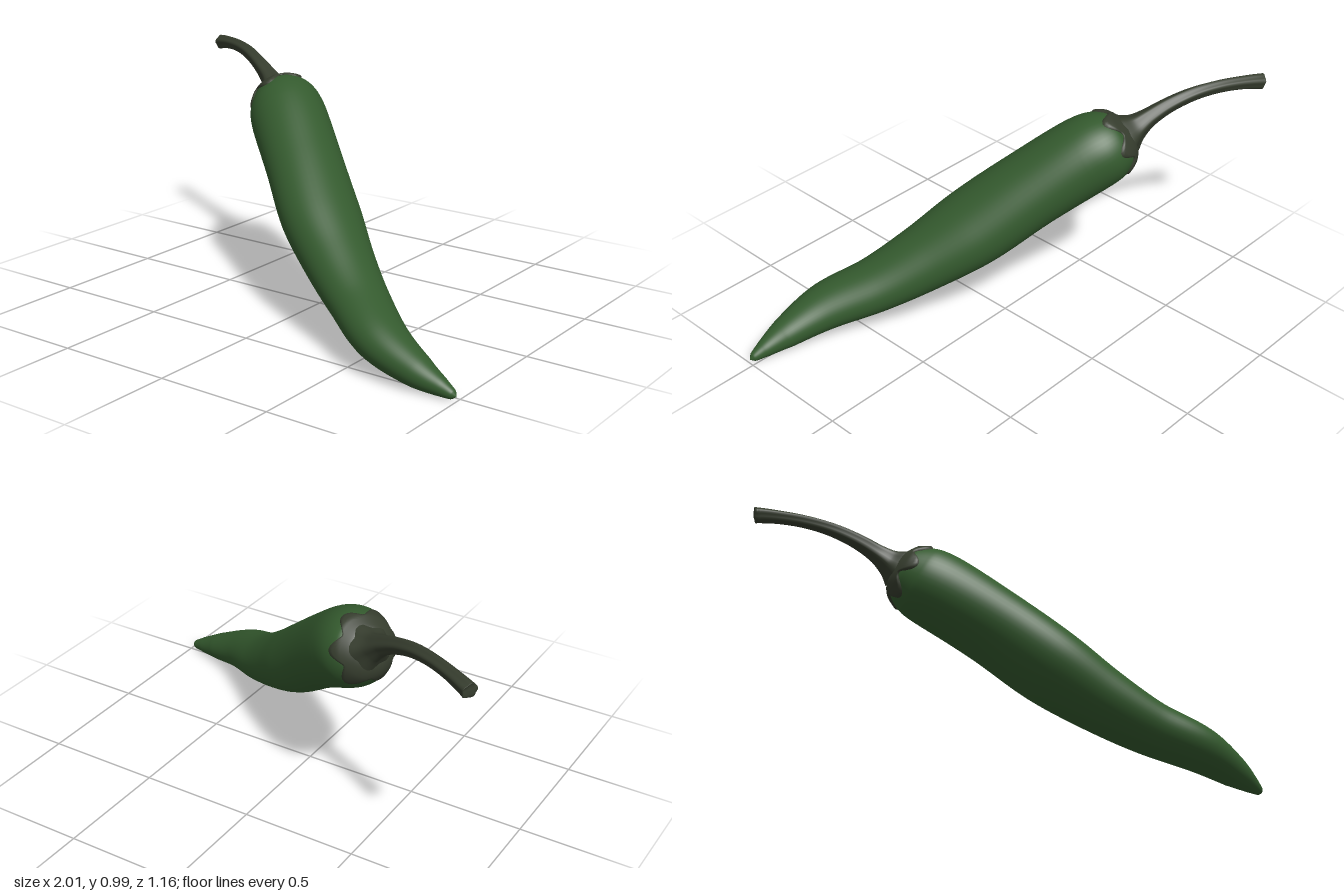
import * as THREE from 'three';

// Path with an elliptical section: rows of [x, y, z, radius up, radius across]
function makeSweep(rows) {
  const path = new THREE.CatmullRomCurve3(rows.map(r => new THREE.Vector3(r[0], r[1], r[2])));
  const radii = new THREE.CatmullRomCurve3(
    rows.map(r => new THREE.Vector3(r[3], r[4], 0)), false, 'catmullrom', 0.5);
  // Surface point at path position u and angle v, pushed outwards by lift
  return (u, v, lift = 0, ridge = 0) => {
    const t = path.getTangent(u);
    const up = new THREE.Vector3(-t.y, t.x, 0).normalize();
    const across = new THREE.Vector3().crossVectors(t, up);
    const r = radii.getPoint(u);
    const k = 1 + ridge * Math.cos(5 * v);
    return path.getPoint(u)
      .addScaledVector(up, Math.cos(v) * (Math.max(r.x, 0) * k + lift))
      .addScaledVector(across, Math.sin(v) * (Math.max(r.y, 0) * k + lift));
  };
}

// Closed tube of points: fn(s, v) with s along and v around
function tubeGeometry(fn, along, around) {
  const pos = [], index = [];
  for (let i = 0; i <= along; i++) {
    for (let j = 0; j < around; j++) {
      pos.push(...fn(i / along, (j / around) * Math.PI * 2).toArray());
      if (i === along) continue;
      const a = i * around + j, b = i * around + (j + 1) % around;
      index.push(a, b, a + around, b, b + around, a + around);
    }
  }
  const g = new THREE.BufferGeometry();
  g.setAttribute('position', new THREE.Float32BufferAttribute(pos, 3));
  g.setIndex(index);
  g.computeVertexNormals();
  return g;
}

export function createModel() {
  const group = new THREE.Group();
  const green = new THREE.MeshStandardMaterial({ color: 0x345a2e });
  const darkGreen = new THREE.MeshStandardMaterial({ color: 0x363d2e, side: THREE.DoubleSide });
  const add = (name, geometry, material) => {
    const mesh = new THREE.Mesh(geometry, material);
    mesh.name = name;
    group.add(mesh);
  };

  // Pod, from the shoulder to the pointed tip
  const podRows = [
    [-0.452, 0.835, -0.288, 0, 0],
    [-0.44, 0.828, -0.281, 0.07, 0.07],
    [-0.415, 0.812, -0.265, 0.12, 0.12],
    [-0.36, 0.78, -0.23, 0.155, 0.155],
    [-0.29, 0.735, -0.175, 0.165, 0.167],
    [-0.105, 0.595, -0.035, 0.153, 0.173],
    [0.09, 0.432, 0.11, 0.147, 0.178],
    [0.27, 0.305, 0.23, 0.128, 0.152],
    [0.44, 0.21, 0.337, 0.107, 0.13],
    [0.63, 0.135, 0.455, 0.091, 0.111],
    [0.82, 0.072, 0.503, 0.063, 0.07],
    [0.925, 0.043, 0.515, 0.037, 0.038],
    [0.98, 0.028, 0.52, 0.019, 0.019],
    [0.998, 0.024, 0.522, 0, 0],
  ];
  const pod = makeSweep(podRows);
  add('pod', tubeGeometry((s, v) => pod(s, v), 104, 48), green);

  // Calyx: thin lobed cap hugging the shoulder, its rim tucked into the pod
  const segments = podRows.length - 1;
  const calyx = (s, v) => {
    const lobe = Math.pow(Math.abs(Math.cos(3 * v + 0.4)), 1.5);
    const edge = (2.0 + 0.75 * lobe + 0.15 * Math.sin(2 * v)) / segments;
    const p = pod(s * edge, v, s > 0.95 ? -0.004 : 0.006);
    return p.add(new THREE.Vector3(-0.005, 0.003, -0.003));
  };
  add('calyx', tubeGeometry(calyx, 16, 72), darkGreen);

  // Stem: ridged, arching away and flaring into the calyx
  const stem = makeSweep([
    [-0.993, 0.951, -0.557, 0, 0],
    [-0.992, 0.951, -0.556, 0.029, 0.029],
    [-0.98, 0.954, -0.55, 0.031, 0.031],
    [-0.9, 0.964, -0.51, 0.027, 0.027],
    [-0.8, 0.966, -0.46, 0.026, 0.026],
    [-0.7, 0.953, -0.41, 0.028, 0.028],
    [-0.6, 0.92, -0.36, 0.032, 0.032],
    [-0.52, 0.88, -0.323, 0.04, 0.04],
    [-0.475, 0.85, -0.3, 0.056, 0.056],
    [-0.44, 0.828, -0.281, 0.085, 0.085],
  ]);
  add('stem', tubeGeometry((s, v) => stem(s, v, 0, 0.08), 72, 30), darkGreen);

  return group;
}
